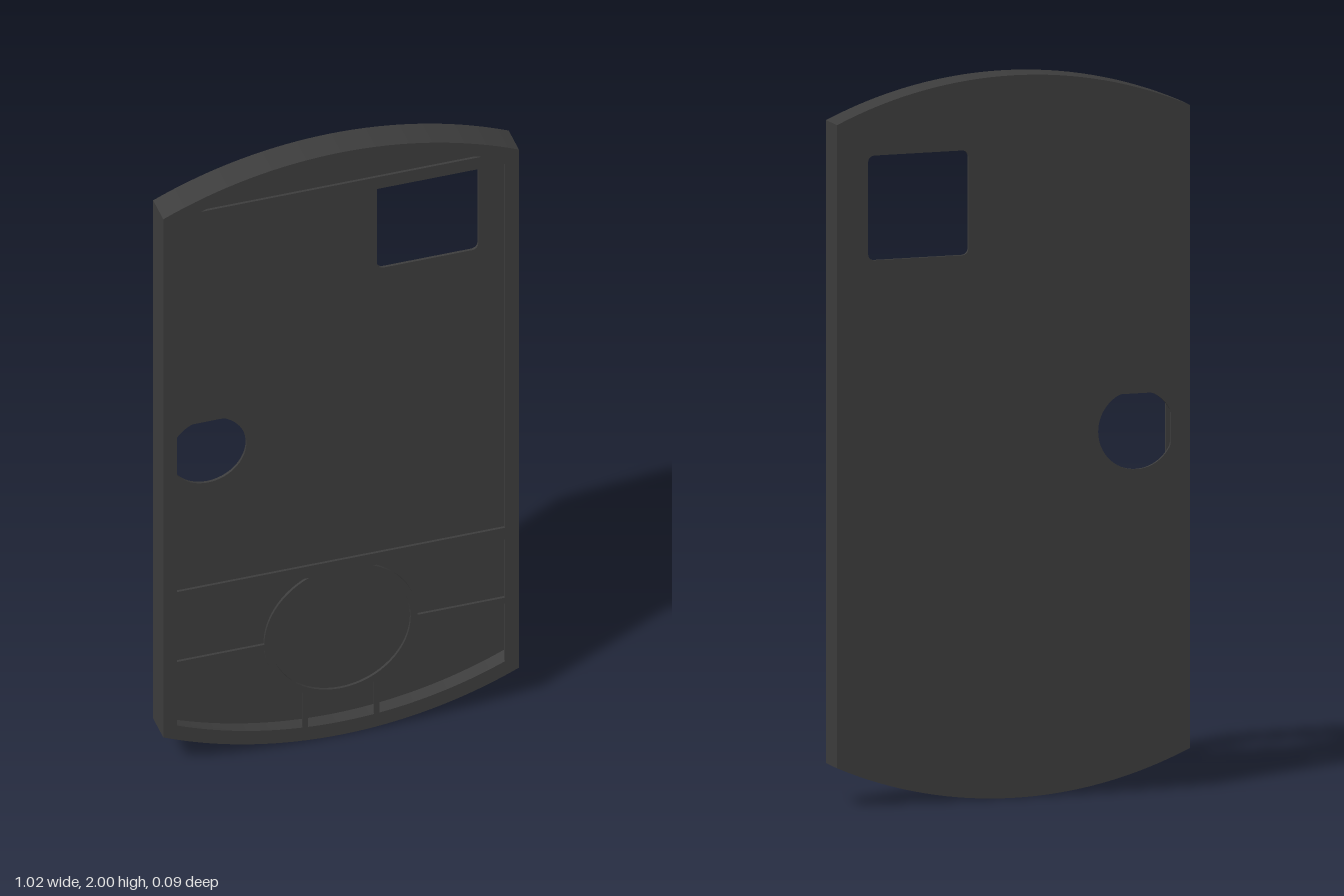
import * as THREE from 'three';

const HALF_W = 0.51, HALF_D = 0.045, SHEET = 0.008, WALL = 0.012;
const ARC_R = 1.237, TOP_C = 2 - ARC_R, BOTTOM_C = ARC_R; // large end arcs
const PAD_Y = 0.36, RING_R = 0.22;                        // round key

const material = new THREE.MeshStandardMaterial({ color: 0x3c3c3c, side: THREE.DoubleSide });

// Points on a circle, from angle a to angle b
function arc(cx, cy, r, a, b, n = 32) {
  return Array.from({ length: n + 1 }, (_, i) => {
    const t = a + (b - a) * i / n;
    return new THREE.Vector2(cx + r * Math.cos(t), cy + r * Math.sin(t));
  });
}

// End arcs running between two x positions, set in from the outline
function topArc(inset, x0, x1) {
  const r = ARC_R - inset;
  return arc(0, TOP_C, r, Math.acos(x0 / r), Math.acos(x1 / r));
}
function bottomArc(inset, x0, x1) {
  const r = ARC_R - inset;
  return arc(0, BOTTOM_C, r, -Math.acos(x0 / r), -Math.acos(x1 / r));
}

// Straight-sided outline with bowed ends
function outline(inset) {
  const w = HALF_W - inset;
  return [...bottomArc(inset, -w, w), ...topArc(inset, w, -w)];
}

const pt = (x, y) => new THREE.Vector2(x, y);
const rect = (x0, y0, x1, y1) => [pt(x0, y0), pt(x1, y0), pt(x1, y1), pt(x0, y1)];
const mirror = (points) => points.map((p) => pt(-p.x, p.y)).reverse();

function roundedRect(x0, y0, x1, y1, r) {
  const q = Math.PI / 2;
  return [
    ...arc(x1 - r, y1 - r, r, 0, q, 5), ...arc(x0 + r, y1 - r, r, q, 2 * q, 5),
    ...arc(x0 + r, y0 + r, r, 2 * q, 3 * q, 5), ...arc(x1 - r, y0 + r, r, 3 * q, 4 * q, 5),
  ];
}

function sheet(name, points, holes, z, depth) {
  const shape = new THREE.Shape(points);
  shape.holes = holes.map((h) => new THREE.Path(h));
  const geometry = new THREE.ExtrudeGeometry(shape, { depth, bevelEnabled: false });
  geometry.translate(0, 0, z);
  const mesh = new THREE.Mesh(geometry, material);
  mesh.name = name;
  return mesh;
}

// Openings of the front: screen, top crescent and keys
function frontOpenings() {
  const screen = rect(-0.47, 0.6, 0.47, 1.85);
  const crescent = topArc(0.04, 0.403, -0.403);
  const roundKey = arc(0, PAD_Y, 0.2, 0, Math.PI * 2, 64).slice(0, -1);

  const upperKey = [
    pt(0.47, PAD_Y), pt(0.47, 0.56),
    ...arc(0, PAD_Y, RING_R, Math.asin(0.2 / RING_R), 0, 20),
  ];
  const lowerKey = [
    pt(0.47, 0.34),
    ...arc(0, PAD_Y, RING_R, -Math.asin(0.02 / RING_R), -Math.acos(0.11 / RING_R), 20),
    ...bottomArc(0.045, 0.11, 0.47),
  ];
  const a = Math.acos(0.095 / RING_R);
  const middleKey = [
    ...bottomArc(0.045, -0.095, 0.095),
    ...arc(0, PAD_Y, RING_R, -a, a - Math.PI, 16),
  ];
  return [screen, crescent, roundKey, middleKey,
    upperKey, mirror(upperKey), lowerKey, mirror(lowerKey)];
}

// Openings of the back: square window and round hole with two flats
function backOpenings() {
  const window = roundedRect(0.13, 1.51, 0.42, 1.8, 0.018);
  const round = arc(-0.355, 1, 0.11, 0, Math.PI * 2, 64).slice(0, -1)
    .map((p) => pt(Math.max(p.x, -0.455), Math.min(p.y, 1.1)));
  return [window, round];
}

export function createModel() {
  const group = new THREE.Group();
  group.name = 'handheldCase';
  group.add(
    sheet('frontFrame', outline(0), frontOpenings(), HALF_D - SHEET, SHEET),
    sheet('sideWall', outline(0), [outline(WALL)], -HALF_D + SHEET, 2 * (HALF_D - SHEET)),
    sheet('backPanel', outline(0), backOpenings(), -HALF_D, SHEET),
  );
  return group;
}
